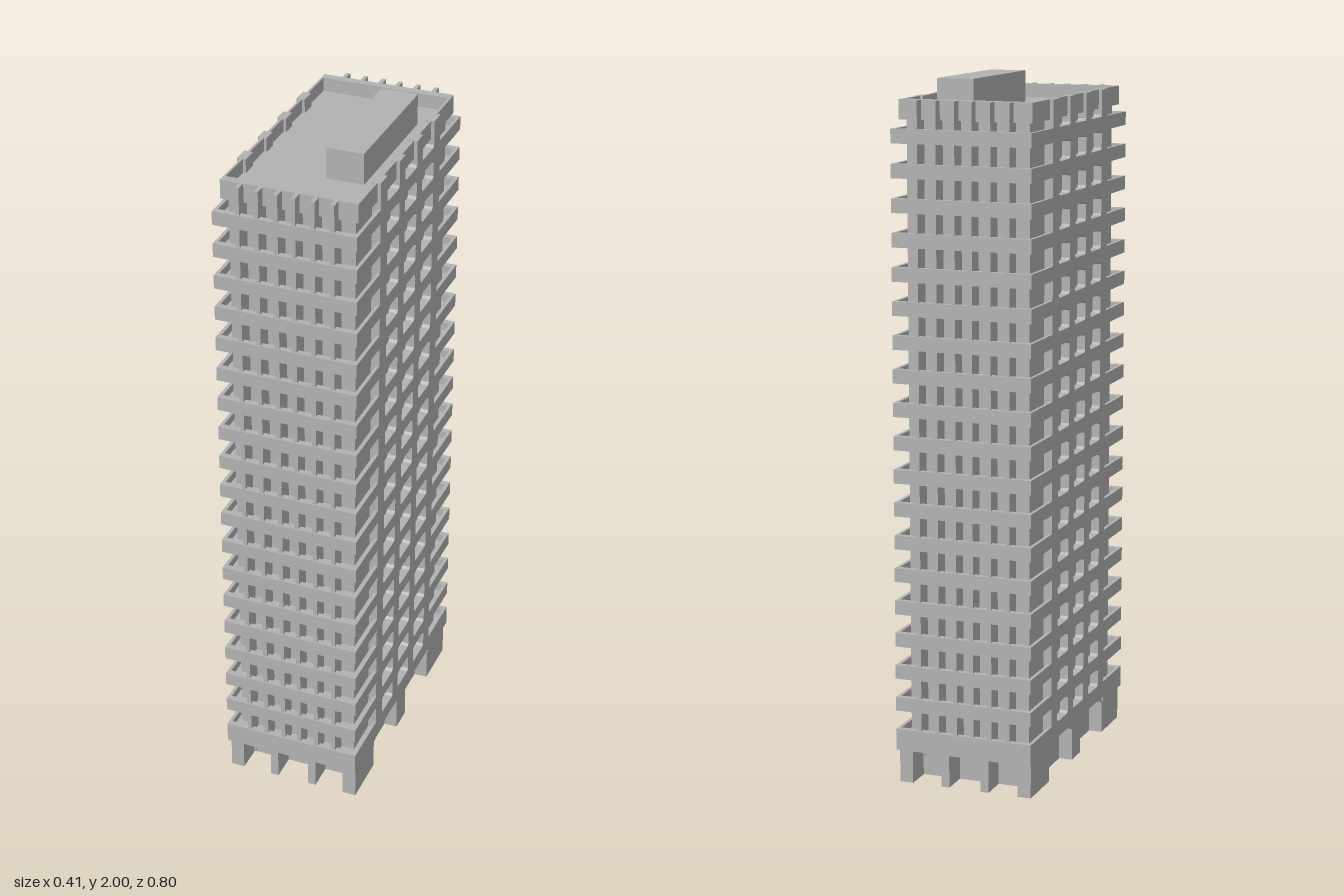
import * as THREE from 'three';

const concrete = new THREE.MeshStandardMaterial({ color: 0xb2b2b2 });
concrete.name = 'concrete grey';

const FLOORS = 19, PITCH = 0.095, SILL = 0.162, WIN_H = 0.055;
const HX = 0.205, HZ = 0.4, TOP = 1.95;

export function createModel() {
  const model = new THREE.Group();
  model.name = 'apartmentTower';

  const add = (name, geometry, parent = model) => {
    const mesh = new THREE.Mesh(geometry, concrete);
    mesh.name = name;
    parent.add(mesh);
    return mesh;
  };
  // box given by its minimum and maximum corners
  const box = (name, x0, x1, y0, y1, z0, z1, parent) => {
    const g = new THREE.BoxGeometry(Math.abs(x1 - x0), y1 - y0, Math.abs(z1 - z0));
    g.translate((x0 + x1) / 2, (y0 + y1) / 2, (z0 + z1) / 2);
    return add(name, g, parent);
  };
  const polygon = (pts) => pts.map(([a, b]) => new THREE.Vector2(a, b));
  // extrude a (z, y) profile inwards from x = outer
  const sideExtrude = (shape, outer, depth) => {
    const g = new THREE.ExtrudeGeometry(shape, { depth, bevelEnabled: false });
    return g.rotateY(-Math.PI / 2).translate(outer, 0, 0);
  };

  // inner block behind the windows, and the roof slab
  box('innerCore', -0.18, 0.18, 0.1, 1.91, -0.345, 0.345);
  const roof = new THREE.Group();
  roof.name = 'roof';
  model.add(roof);
  box('roofSlab', -0.195, 0.195, 1.895, 1.91, -0.365, 0.365, roof);
  for (const s of [-1, 1]) {
    box('sideParapet', s * 0.188, s * 0.195, 1.91, TOP, -0.365, 0.365, roof);
    box('endParapet', -0.188, 0.188, 1.91, TOP, s * 0.34, s * 0.365, roof);
  }
  box('rooftopHousing', 0.03, 0.138, 1.91, 2, -0.228, 0.18, roof);

  // long facades: window grid, with the top row open upwards
  const bays = [-0.135, 0, 0.135], half = 0.046, c = 0.007;
  const topSill = SILL + (FLOORS - 1) * PITCH;
  const outline = [[-0.23, 0.115], [0.23, 0.115], [0.23, TOP]];
  for (const b of [...bays].reverse()) {
    outline.push([b + half, TOP], [b + half, topSill + c], [b + half - c, topSill],
      [b - half + c, topSill], [b - half, topSill + c], [b - half, TOP]);
  }
  outline.push([-0.23, TOP]);
  const facade = new THREE.Shape(polygon(outline));
  for (let i = 0; i < FLOORS - 1; i++) {
    const y0 = SILL + i * PITCH, y1 = y0 + WIN_H;
    for (const b of bays) {
      const l = b - half, r = b + half;
      facade.holes.push(new THREE.Path(polygon([[l + c, y0], [l, y0 + c], [l, y1 - c], [l + c, y1],
        [r - c, y1], [r, y1 - c], [r, y0 + c], [r - c, y0]])));
    }
  }
  add('leftFacade', sideExtrude(facade, HX, 0.025));
  add('rightFacade', sideExtrude(facade, -0.18, 0.025));

  // balconies wrapping both ends at every floor
  for (const s of [-1, 1]) {
    const end = new THREE.Group();
    end.name = s > 0 ? 'frontBalconies' : 'backBalconies';
    model.add(end);
    for (let i = 0; i < FLOORS; i++) {
      const y1 = SILL + i * PITCH;
      const y0 = i === 0 ? 0.1 : y1 - PITCH + WIN_H;
      box('balconyRail', -HX, HX, y0, y1, s * 0.382, s * HZ, end);
      box('balconyFloor', -0.195, 0.195, y0, y0 + 0.016, s * 0.23, s * 0.382, end);
      for (const m of [-1, 1]) {
        box('cornerRail', m * 0.195, m * HX, y0, y1, s * 0.23, s * 0.382, end);
      }
    }
    // upright dividers between the balconies
    for (const x of [-0.134, -0.0795, -0.025, 0.025, 0.0795, 0.134]) {
      box('balconyDivider', x - 0.006, x + 0.006, 0.11, TOP, s * 0.345, s * 0.396, end);
    }
  }

  // ground floor: set-back core, flared side piers and end fins
  const base = new THREE.Group();
  base.name = 'groundFloor';
  model.add(base);
  box('groundCore', -0.16, 0.16, 0, 0.12, -0.305, 0.305, base);
  box('groundSoffit', -0.2, 0.2, 0.115, 0.14, -0.385, 0.385, base);
  for (const z of [-0.27, 0, 0.27]) {
    const pier = new THREE.Shape(polygon([[z - 0.037, 0], [z + 0.037, 0], [z + 0.037, 0.095],
      [z + 0.055, 0.12], [z - 0.055, 0.12], [z - 0.037, 0.095]]));
    add('sidePier', sideExtrude(pier, 0.2, 0.045), base);
    add('sidePier', sideExtrude(pier, -0.155, 0.045), base);
  }
  for (const s of [-1, 1]) {
    for (const x of [-0.18, -0.06, 0.06, 0.18]) {
      const w = Math.abs(x) > 0.1 ? 0.02 : 0.012;
      const fin = new THREE.Shape(polygon([[x - w, 0], [x + w, 0], [x + w, 0.1],
        [x + w, 0.118], [x - w, 0.118], [x - w, 0.1]]));
      const g = new THREE.ExtrudeGeometry(fin, { depth: 0.085, bevelEnabled: false });
      g.translate(0, 0, s > 0 ? 0.3 : -0.385);
      add('endFin', g, base);
    }
  }
  return model;
}
